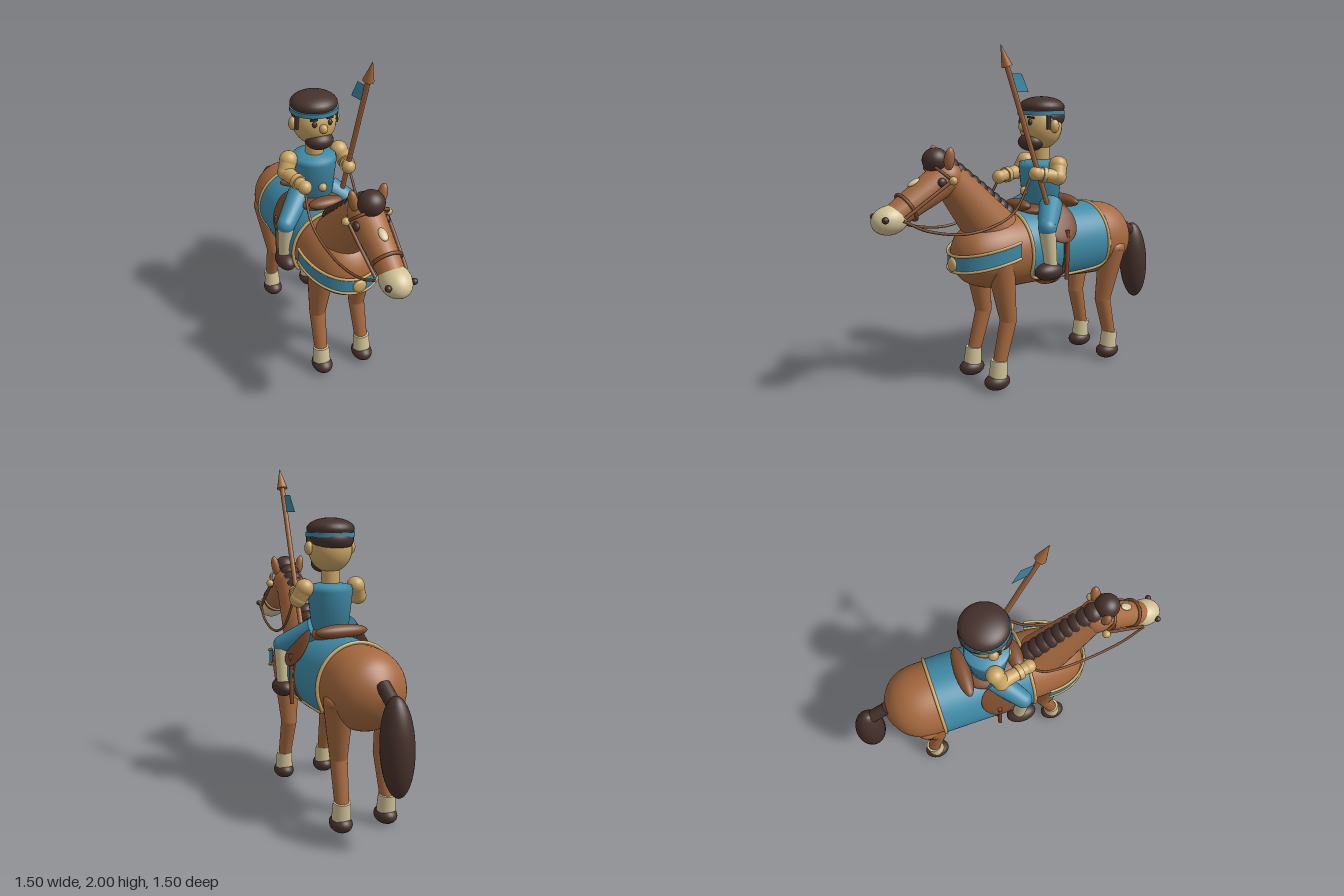
import * as THREE from 'three';
import { ParametricGeometry } from 'three/addons/geometries/ParametricGeometry.js';

const paint = (name, color, side = THREE.FrontSide) => {
  const m = new THREE.MeshStandardMaterial({ color, side });
  m.name = name;
  return m;
};
const V = (x, y, z) => new THREE.Vector3(x, y, z);
const UP = V(0, 1, 0);

export function createModel() {
  const coat = paint('chestnut', 0xa5693f), dark = paint('darkBrown', 0x46312c);
  const blue = paint('blue', 0x3f8ba8, THREE.DoubleSide), tan = paint('tan', 0xcaa565);
  const cream = paint('cream', 0xd0c297), leather = paint('leather', 0x7c4c2e);
  const horse = new THREE.Group(), rider = new THREE.Group();
  horse.name = 'horse';
  rider.name = 'rider';
  let parent = horse;

  const add = (name, geo, mat) => {
    const m = new THREE.Mesh(geo, mat);
    m.name = name;
    parent.add(m);
    return m;
  };
  const ball = (name, mat, p, rx, ry = rx, rz = rx) => {
    const m = add(name, new THREE.SphereGeometry(1, 28, 18), mat);
    m.position.set(...p);
    m.scale.set(rx, ry, rz);
    return m;
  };
  // tapered cylinder from a (radius ra) to b (radius rb)
  const limb = (name, mat, a, b, ra, rb = ra, flat = 1) => {
    const A = V(...a), B = V(...b), d = B.clone().sub(A);
    const m = add(name, new THREE.CylinderGeometry(rb, ra, d.length(), 24), mat);
    m.position.copy(A).add(B).multiplyScalar(0.5);
    m.quaternion.setFromUnitVectors(UP, d.normalize());
    m.scale.x = flat;
    return m;
  };
  const cord = (name, mat, pts, r, closed = false, n = 40) => add(name, new THREE.TubeGeometry(
    new THREE.CatmullRomCurve3(pts.map(p => Array.isArray(p) ? V(...p) : p), closed), n, r, 8, closed), mat);

  // Barrel of the horse, turned around its long axis
  const profile = new THREE.SplineCurve([[0, -0.81], [0.1, -0.775], [0.19, -0.7], [0.232, -0.57], [0.225, -0.3],
    [0.22, 0], [0.213, 0.25], [0.165, 0.41], [0.085, 0.48], [0, 0.5]].map(p => new THREE.Vector2(...p)));
  const barrel = new THREE.LatheGeometry(profile.getPoints(48).map(p => p.setX(Math.max(p.x, 0))), 40);
  add('body', barrel.rotateX(Math.PI / 2), coat).position.y = 0.8;

  // Neck and head
  limb('neck', coat, [0, 0.85, 0.17], [0, 1.27, 0.53], 0.175, 0.1, 0.88);
  ball('poll', coat, [0, 1.27, 0.55], 0.1);
  limb('face', coat, [0, 1.27, 0.55], [0, 1.08, 0.87], 0.1, 0.07);
  const muzzle = ball('muzzle', cream, [0, 1.065, 0.895], 0.085, 0.08, 0.105);
  muzzle.rotation.x = 0.15;
  const star = ball('star', cream, [0, 1.258, 0.748], 0.025, 0.012, 0.04);
  star.rotation.x = 0.53;
  for (let i = 0; i < 9; i++) {
    const t = i / 8;
    ball('mane', dark, [0, 1.03 + 0.3 * t, 0.15 + 0.38 * t], 0.065, 0.06, 0.06);
  }
  ball('forelock', dark, [0, 1.37, 0.61], 0.075, 0.07, 0.075);

  // Tail
  limb('tailDock', dark, [0, 0.87, -0.78], [0, 0.77, -0.93], 0.04);
  ball('tail', dark, [0, 0.585, -0.935], 0.09, 0.265, 0.095).rotation.x = 0.08;

  for (const s of [-1, 1]) {
    // Legs: top, knee, ankle
    const legs = [['front', [0.13, 0.76, 0.27], [0.135, 0.41, 0.22], [0.141, 0.15, 0.29], 0.085],
      ['hind', [0.16, 0.75, -0.58], [0.135, 0.41, -0.53], [0.141, 0.15, -0.59], 0.085]];
    for (const [name, ...rest] of legs) {
      const [top, knee, ankle] = rest.slice(0, 3).map(p => [s * p[0], p[1], p[2]]);
      ball(name + 'Thigh', coat, top, rest[3], 0.06, rest[3]);
      limb(name + 'UpperLeg', coat, top, knee, rest[3], 0.05);
      ball(name + 'Knee', coat, knee, 0.05);
      limb(name + 'LowerLeg', coat, knee, ankle, 0.05, 0.04);
      limb(name + 'Sock', cream, [ankle[0], 0.08, ankle[2] + 0.01], [ankle[0], 0.18, ankle[2]], 0.055, 0.05);
      ball(name + 'Hoof', dark, [ankle[0], 0.05, ankle[2] + 0.015], 0.063, 0.05, 0.082);
    }
    // Face details and bridle
    ball('horseEye', dark, [s * 0.088, 1.255, 0.62], 0.02, 0.026, 0.026);
    ball('nostril', dark, [s * 0.075, 1.08, 0.955], 0.018);
    const ear = ball('ear', coat, [s * 0.085, 1.38, 0.57], 0.026, 0.065, 0.03);
    ear.rotation.z = -s * 0.2;
    ball('rosette', tan, [s * 0.125, 1.265, 0.57], 0.024);
    cord('cheekStrap', leather, [[s * 0.115, 1.265, 0.57], [s * 0.105, 1.18, 0.7], [s * 0.09, 1.08, 0.85]], 0.01);
    cord('browBand', leather, [[s * 0.115, 1.265, 0.57], [s * 0.09, 1.32, 0.63], [0, 1.35, 0.645]], 0.009);
    cord('rein', leather, [[s * 0.09, 1.07, 0.86], [s * 0.115, 1.0, 0.72], [s * 0.14, 0.965, 0.45],
      [s * 0.16, 1.05, 0.2], [s * 0.15, 1.24, 0.07]], 0.008);
  }
  const noseBand = add('noseBand', new THREE.TorusGeometry(0.084, 0.01, 8, 32), leather);
  noseBand.position.set(0, 1.125, 0.795);
  noseBand.rotation.x = 0.535;

  // Blanket wrapped over the back, with rounded lower corners
  const reach = 2.25, R = 0.242;
  const onBlanket = (u, v, out) => {
    const a = (2 * u - 1) * reach, c = 0.08, e = Math.max(0, c - (reach - Math.abs(a)) * R);
    const half = 0.295 - c + Math.sqrt(Math.max(0, c * c - e * e));
    return out.set(R * Math.sin(a), 0.8 + R * Math.cos(a), -0.185 + (2 * v - 1) * half);
  };
  add('blanket', new ParametricGeometry(onBlanket, 96, 6), blue);
  const rim = [];
  for (let i = 0; i <= 50; i++) rim.push(onBlanket(i / 50, 1, V(0, 0, 0)));
  for (let i = 50; i >= 0; i--) rim.push(onBlanket(i / 50, 0, V(0, 0, 0)));
  cord('blanketTrim', tan, rim, 0.011, true, 220);

  // Breast strap
  const onStrap = (u, v, out) => {
    const a = Math.PI * u;
    return out.set(0.245 * Math.cos(a), 0.85 - 0.08 * Math.sin(a) + (v - 0.5) * 0.095, 0.2 + 0.315 * Math.sin(a));
  };
  add('breastStrap', new ParametricGeometry(onStrap, 48, 2), blue);
  for (const v of [0, 1]) {
    cord('breastStrapTrim', tan, Array.from({ length: 25 }, (_, i) => onStrap(i / 24, v, V(0, 0, 0))), 0.009, false, 60);
  }
  ball('breastBoss', tan, [0, 0.765, 0.515], 0.042, 0.042, 0.02);

  // Saddle
  ball('saddleSeat', leather, [0, 1.035, -0.11], 0.15, 0.045, 0.19);
  ball('cantle', leather, [0, 1.07, -0.28], 0.165, 0.042, 0.05);
  ball('pommel', leather, [0, 1.07, 0.05], 0.11, 0.035, 0.05);
  const girth = add('girth', new THREE.CylinderGeometry(0.25, 0.25, 0.03, 48), leather);
  girth.rotation.x = Math.PI / 2;
  girth.position.set(0, 0.8, -0.13);
  for (const s of [-1, 1]) {
    const flap = ball('saddleFlap', leather, [s * 0.205, 0.97, -0.11], 0.02, 0.13, 0.12);
    flap.rotation.z = s * 0.5;
    limb('stirrupLeather', leather, [s * 0.255, 0.93, -0.13], [s * 0.25, 0.63, -0.13], 0.013);
  }

  // Rider: torso, neck and head
  parent = rider;
  const torso = new THREE.LatheGeometry([[0, 1.02], [0.105, 1.02], [0.135, 1.29], [0.128, 1.32], [0.06, 1.335], [0, 1.335]]
    .map(p => new THREE.Vector2(...p)), 32);
  add('tunic', torso, blue).position.z = -0.12;
  limb('riderNeck', tan, [0, 1.31, -0.12], [0, 1.44, -0.12], 0.055);
  ball('riderHead', tan, [0, 1.535, -0.12], 0.13, 0.14, 0.13);
  ball('beard', dark, [0, 1.442, -0.045], 0.085, 0.055, 0.075);
  ball('nose', tan, [0, 1.535, 0.015], 0.025, 0.028, 0.028);
  ball('hair', dark, [0, 1.648, -0.125], 0.14, 0.065, 0.14);
  ball('backHair', dark, [0, 1.59, -0.145], 0.128, 0.085, 0.125);
  const band = add('headband', new THREE.CylinderGeometry(0.143, 0.143, 0.026, 40), blue);
  band.position.set(0, 1.617, -0.122);
  ball('buckle', tan, [0, 1.15, 0.005], 0.026);

  for (const s of [-1, 1]) {
    ball('riderEye', dark, [s * 0.048, 1.562, -0.003], 0.014, 0.018, 0.012);
    const brow = add('eyebrow', new THREE.BoxGeometry(0.045, 0.012, 0.014), dark);
    brow.position.set(s * 0.05, 1.59, -0.008);
    brow.rotation.set(0, s * 0.35, -s * 0.12);
    ball('riderEar', tan, [s * 0.135, 1.54, -0.12], 0.025, 0.04, 0.03);
    limb('sideburn', dark, [s * 0.122, 1.52, -0.085], [s * 0.122, 1.61, -0.085], 0.014);

    // Arms: the left hand holds the lance, the right one the reins
    const hand = s > 0 ? [0.155, 1.27, 0.035] : [-0.15, 1.225, 0.085];
    const shoulder = [s * 0.165, 1.31, -0.125], elbow = [s * 0.195, 1.245, -0.1];
    ball('shoulder', tan, shoulder, 0.055);
    limb('upperArm', tan, shoulder, elbow, 0.052, 0.048);
    ball('elbow', tan, elbow, 0.05);
    limb('forearm', tan, elbow, hand, 0.045, 0.035);
    const wrist = elbow.map((e, i) => e + (hand[i] - e) * 0.72);
    limb('cuff', tan, elbow.map((e, i) => e + (hand[i] - e) * 0.55), wrist, 0.047);
    ball('hand', tan, hand, 0.042);

    // Legs
    limb('thigh', blue, [s * 0.1, 1.06, -0.12], [s * 0.25, 0.96, 0.02], 0.075, 0.055);
    ball('riderKnee', blue, [s * 0.25, 0.96, 0.02], 0.055);
    limb('shin', cream, [s * 0.25, 0.95, 0.02], [s * 0.255, 0.72, -0.005], 0.05, 0.038);
    ball('shoe', dark, [s * 0.255, 0.7, 0.01], 0.06, 0.053, 0.095);
  }

  // Lance with pennant, leaning forward
  const lance = y => [0.158, y, -0.08 + (y - 1) * 0.36];
  limb('lanceShaft', coat, lance(0.98), lance(1.9), 0.015);
  limb('lanceHead', coat, lance(1.88), lance(2), 0.032, 0);
  const pennant = new THREE.BufferGeometry();
  pennant.setAttribute('position', new THREE.Float32BufferAttribute(
    [...lance(1.84), ...lance(1.74), 0.14, 1.74, 0.075, 0.15, 1.84, 0.13], 3));
  pennant.setIndex([0, 1, 2, 0, 2, 3]);
  pennant.computeVertexNormals();
  add('pennant', pennant, blue);

  const model = new THREE.Group();
  model.name = 'mountedRider';
  model.add(horse, rider);
  model.rotation.y = Math.PI / 4;
  const root = new THREE.Group();
  root.add(model);
  return root;
}
